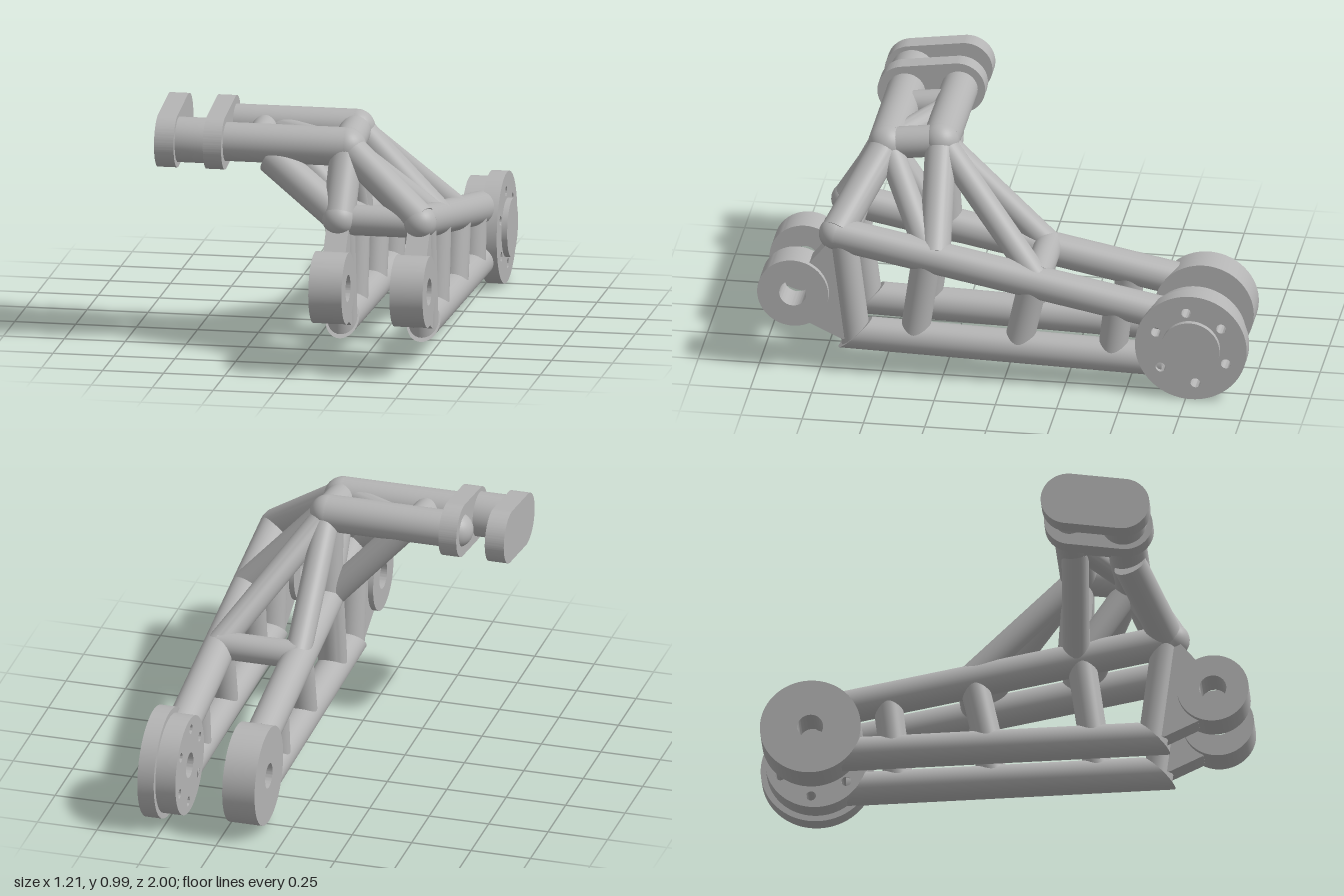
import * as THREE from 'three';
import { toCreasedNormals } from 'three/addons/utils/BufferGeometryUtils.js';

const steel = new THREE.MeshStandardMaterial({ color: 0xb4b4b4 });
steel.name = 'steel grey';

const V = (p) => new THREE.Vector3(...p);

export function createModel() {
  const model = new THREE.Group();
  model.name = 'suspensionArm';

  const add = (name, geometry) => {
    const mesh = new THREE.Mesh(geometry, steel);
    mesh.name = name;
    model.add(mesh);
    return mesh;
  };

  // Round tube from a to b; an optional normal mitres the end at a
  const tube = (name, a, b, r, mitre) => {
    const A = V(a), B = V(b), d = B.clone().sub(A);
    const g = new THREE.CylinderGeometry(r, r, d.length(), 32);
    d.normalize();
    g.applyQuaternion(new THREE.Quaternion().setFromUnitVectors(V([0, 1, 0]), d));
    const mid = A.clone().add(B).multiplyScalar(0.5);
    g.translate(mid.x, mid.y, mid.z);
    if (mitre) {
      const n = V(mitre), p = g.attributes.position, v = new THREE.Vector3();
      for (let i = 0; i < p.count; i++) {
        v.fromBufferAttribute(p, i);
        if (v.clone().sub(mid).dot(d) > 0) continue;
        v.addScaledVector(d, -n.dot(v.clone().sub(A)) / n.dot(d));
        p.setXYZ(i, v.x, v.y, v.z);
      }
    }
    return add(name, toCreasedNormals(g, 0.6));
  };

  const ball = (name, p, r) => add(name, new THREE.SphereGeometry(r, 32, 20)).position.set(...p);

  // Side profile, drawn in (-z, y), extruded from x0 to x1
  const slab = (name, shape, x0, x1) => {
    const g = new THREE.ExtrudeGeometry(shape, { depth: x1 - x0, bevelEnabled: false, curveSegments: 40 });
    g.rotateY(Math.PI / 2).translate(x0, 0, 0);
    return add(name, toCreasedNormals(g, 0.5));
  };

  const circle = (cx, cy, r, Type = THREE.Path) => new Type().absarc(cx, cy, r, 0, Math.PI * 2, false);
  const disc = (z, y, r, hole) => {
    const s = circle(-z, y, r, THREE.Shape);
    if (hole) s.holes.push(circle(-z, y, hole));
    return s;
  };

  const X1 = 0.162, X2 = 0.495, R = 0.068;
  const hubZ = -0.772, hubY = 0.228;

  // Two parallel side frames
  for (const x of [X1, X2]) {
    const topFront = [x, 0.597, 0.69], lowFront = [x, 0.163, 0.61];
    tube('upperRail', topFront, [x, 0.335, -0.65], R);
    ball('upperRailEnd', topFront, R);
    tube('lowerRail', lowFront, [x, 0.13, -0.65], R, [0, 0.72, 0.7]);
    tube('frontPost', lowFront, [x, 0.597, 0.665], 0.06, [0, 0.72, 0.7]);
    for (const [z0, z1, y1] of [[0.37, 0.32, 0.51], [-0.055, -0.115, 0.43], [-0.44, -0.465, 0.37]])
      tube('frameBrace', [x, 0.155, z0], [x, y1, z1], 0.059);

    // Front mounting eye and its web
    slab('frontEye', disc(0.855, 0.35, 0.145, 0.055), x - 0.068, x + 0.068);
    const web = [[-0.79, 0.48], [-0.7, 0.59], [-0.62, 0.55], [-0.6, 0.15], [-0.66, 0.15], [-0.795, 0.215]];
    slab('frontEyeWeb', new THREE.Shape(web.map((p) => new THREE.Vector2(...p))), x - 0.046, x + 0.046);
  }

  // Rear hubs, the outer one with a bolted flange and cap
  slab('rearHub', disc(hubZ, hubY, 0.204, 0.052), X1 - 0.068, X1 + 0.068);
  const bolted = (r) => {
    const s = disc(hubZ, hubY, r, 0.052);
    for (let i = 0; i < 6; i++) {
      const a = (37 + i * 60) * Math.PI / 180;
      s.holes.push(circle(-hubZ + 0.155 * Math.cos(a), hubY + 0.155 * Math.sin(a), 0.02));
    }
    return s;
  };
  slab('outerRearHub', bolted(0.204), 0.427, 0.511);
  slab('hubFlange', bolted(0.228), 0.511, 0.58);
  slab('hubCap', disc(hubZ, hubY, 0.12), 0.578, 0.603);

  // Upper arm: two cross tubes joined at their inner ends
  const P1 = [0.165, 0.857, 0.528], P2 = [0.165, 0.885, 0.31];
  tube('frontArmTube', [-0.34, 0.857, 0.528], P1, 0.079);
  ball('frontArmEnd', P1, 0.079);
  tube('rearArmTube', [-0.38, 0.885, 0.31], P2, 0.075);
  ball('rearArmEnd', P2, 0.075);
  ball('rearArmOuterEnd', [-0.37, 0.885, 0.31], 0.074);
  tube('armEndLink', P1, P2, 0.065);
  tube('armCrossLink', [-0.2, 0.86, 0.528], [-0.2, 0.885, 0.31], 0.055);
  tube('armDiagonal', [-0.17, 0.875, 0.33], [0.13, 0.86, 0.51], 0.05);
  tube('pivotSpool', [-0.53, 0.857, 0.528], [-0.4, 0.857, 0.528], 0.092);

  // Rounded end plates of the arm
  const plate = new THREE.Shape();
  const tilt = Math.atan2(0.03, 0.22), h = Math.PI / 2;
  plate.absarc(-0.315, 0.885, 0.11, tilt - h, tilt + h, false);
  plate.absarc(-0.535, 0.855, 0.11, tilt + h, tilt + 3 * h, false);
  plate.closePath();
  slab('outerArmPlate', plate, -0.605, -0.525);
  slab('innerArmPlate', plate, -0.405, -0.33);

  // Struts from the upper arm down to each side frame
  for (const x of [X1, X2]) {
    tube('frontStrut', P1, [x, 0.605, 0.685], 0.066);
    tube('middleStrut', P1, [x, 0.53, 0.31], 0.053);
    tube('rearUpright', P2, [x, 0.53, 0.285], 0.063);
    tube('rearStrut', P2, [x, 0.455, -0.13], 0.053);
  }

  // Cross members between the frames
  tube('frontCrossTube', [X1, 0.587, 0.66], [X2, 0.587, 0.66], 0.062);
  tube('rearCrossTube', [X1, 0.455, -0.13], [X2, 0.455, -0.13], 0.057);

  // Outrigger braces under the arm
  tube('frontOutrigger', [-0.14, 0.8, 0.535], [X1, 0.6, 0.67], 0.068);
  tube('rearOutrigger', [-0.15, 0.85, 0.315], [X1, 0.51, 0.3], 0.055);

  return model;
}
